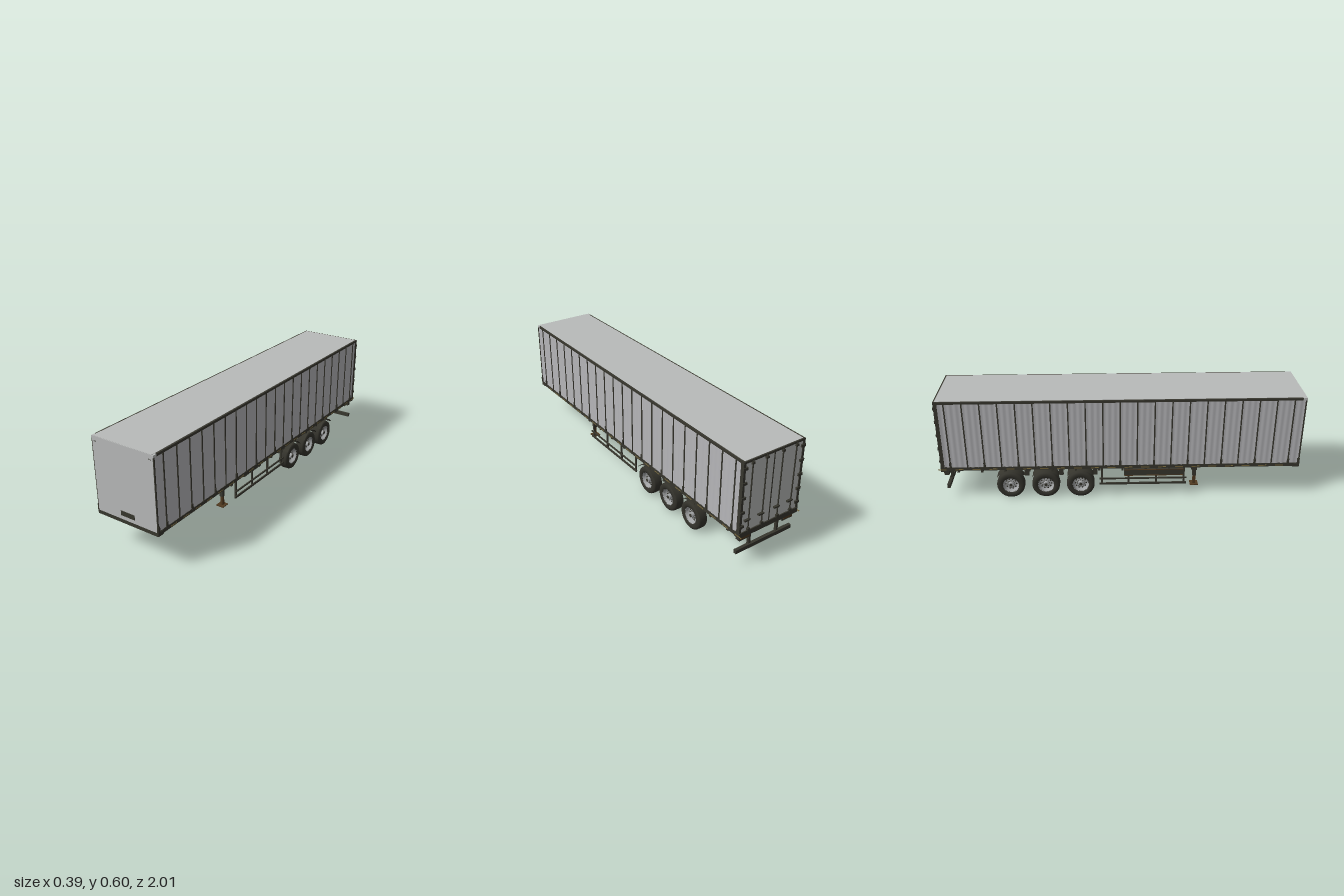
import * as THREE from 'three';

const mat = (name, color, side = THREE.FrontSide) => {
  const m = new THREE.MeshStandardMaterial({ color, side });
  m.name = name;
  return m;
};

export function createModel() {
  const panel = mat('panel grey', 0xb9bbba);
  const curtainMat = mat('curtain grey', 0xb6b6b9, THREE.DoubleSide);
  const dark = mat('dark frame', 0x38372e);
  const fenderMat = mat('fender black', 0x35342c, THREE.DoubleSide);
  const rubber = mat('tyre rubber', 0x33322b);
  const rimMat = mat('rim silver', 0xa2a4a5);
  const brown = mat('rust brown', 0x513a20);
  const marker = mat('marker ochre', 0x77683c);

  const root = new THREE.Group();
  root.name = 'semiTrailer';
  const add = (name, geo, material, parent = root) => {
    const m = new THREE.Mesh(geo, material);
    m.name = name;
    parent.add(m);
    return m;
  };
  // box given by its limits on each axis
  const box = (name, x0, x1, y0, y1, z0, z1, material = dark, parent = root) => {
    const m = add(name, new THREE.BoxGeometry(x1 - x0, y1 - y0, z1 - z0), material, parent);
    m.position.set((x0 + x1) / 2, (y0 + y1) / 2, (z0 + z1) / 2);
    return m;
  };
  // the same box on the left or right side of the model
  const sideBox = (name, s, x0, x1, ...rest) =>
    s > 0 ? box(name, x0, x1, ...rest) : box(name, -x1, -x0, ...rest);
  const cyl = (name, r, len, axis, x, y, z, material = dark, parent = root, seg = 16) => {
    const g = new THREE.CylinderGeometry(r, r, len, seg);
    if (axis === 'x') g.rotateZ(Math.PI / 2);
    if (axis === 'z') g.rotateX(Math.PI / 2);
    const m = add(name, g, material, parent);
    m.position.set(x, y, z);
    return m;
  };

  // ---- body shell ----
  box('floor', -0.186, 0.186, 0.182, 0.2, -0.985, 0.995);
  box('frontSill', -0.19, 0.19, 0.18, 0.2, 0.96, 0.997);
  box('frontWall', -0.184, 0.184, 0.2, 0.598, 0.97, 0.997, panel);
  box('roof', -0.179, 0.179, 0.588, 0.6, -0.985, 0.996, panel);
  box('frontRoofCap', -0.188, 0.188, 0.586, 0.5985, 0.975, 0.998, panel);
  box('frontPlate', -0.036, 0.049, 0.222, 0.247, 0.996, 1.0);
  for (const s of [1, -1]) {
    sideBox('frontMark', s, 0.161, 0.175, 0.572, 0.574, 0.996, 0.999);
    sideBox('frontMark', s, 0.161, 0.163, 0.572, 0.578, 0.996, 0.999);
    sideBox('topRail', s, 0.178, 0.1885, 0.586, 0.5985, -0.99, 0.975);
    sideBox('bottomRail', s, 0.18, 0.188, 0.183, 0.203, -0.99, 0.99);
    sideBox('frontCorner', s, 0.183, 0.189, 0.2, 0.586, 0.989, 0.996);
    sideBox('frontCornerFoot', s, 0.183, 0.192, 0.2, 0.232, 0.984, 0.997);
    sideBox('rearPillar', s, 0.176, 0.189, 0.2, 0.598, -0.992, -0.972);

    // curtain with soft upright folds
    const g = new THREE.PlaneGeometry(1.96, 0.388, 252, 1);
    const p = g.attributes.position;
    for (let i = 0; i < p.count; i++)
      p.setZ(i, 0.0012 * Math.sin(((p.getX(i) - 0.01) / 0.0935) * Math.PI * 6));
    g.computeVertexNormals();
    const c = add('sideCurtain', g, curtainMat);
    c.rotation.y = s * Math.PI / 2;
    c.position.set(s * 0.1855, 0.394, 0.008);

    // straps, buckles and rail markers
    for (let i = 0; i < 21; i++) {
      const z = 0.932 - i * 0.0935;
      sideBox('strap', s, 0.186, 0.1895, 0.2, 0.588, z - 0.0035, z + 0.0035);
      if (i % 2 === 0) sideBox('buckle', s, 0.187, 0.193, 0.203, 0.232, z - 0.006, z + 0.006);
      sideBox('railMarker', s, 0.187, 0.1885, 0.187, 0.193, z - 0.07, z - 0.025, marker);
    }
  }

  // ---- rear doors ----
  box('rearDoors', -0.178, 0.178, 0.2, 0.592, -0.988, -0.975, panel);
  box('rearHeader', -0.188, 0.188, 0.588, 0.599, -0.992, -0.972);
  box('rearSill', -0.188, 0.188, 0.178, 0.206, -0.994, -0.96);
  box('doorGap', -0.003, 0.003, 0.206, 0.588, -0.9895, -0.987);
  for (const x of [-0.135, -0.05, 0.05, 0.135]) {
    cyl('lockBar', 0.0035, 0.4, 'y', x, 0.395, -0.992, dark, root, 8);
    for (const y of [0.215, 0.58]) box('barKeeper', x - 0.008, x + 0.008, y - 0.006, y + 0.006, -0.998, -0.986);
    box('barHandle', x - 0.006, x + 0.028, 0.268, 0.276, -1.0, -0.988);
  }
  for (const s of [1, -1])
    for (let i = 0; i < 5; i++)
      sideBox('hinge', s, 0.165, 0.191, 0.235 + i * 0.08, 0.249 + i * 0.08, -0.996, -0.984);

  // ---- chassis ----
  const profile = new THREE.Shape([[0.49, 0.184], [0.42, 0.13], [-0.95, 0.13], [-0.95, 0.184]]
    .map(([a, b]) => new THREE.Vector2(a, b)));
  for (const s of [1, -1]) {
    const g = new THREE.ExtrudeGeometry(profile, { depth: 0.008, bevelEnabled: false });
    g.rotateY(-Math.PI / 2);
    add('chassisRail', g, dark).position.x = s * 0.077 + 0.004;
    sideBox('railFlange', s, 0.067, 0.088, 0.129, 0.133, -0.95, 0.42);
  }
  for (let i = 0; i < 11; i++) {
    const z = 0.4 - i * 0.13;
    box('crossMember', -0.18, 0.18, 0.166, 0.183, z - 0.006, z + 0.006);
  }
  box('neckPlate', -0.09, 0.09, 0.156, 0.183, 0.44, 0.46);
  cyl('kingpin', 0.006, 0.016, 'y', 0, 0.176, 0.77);

  // ---- storage boxes ----
  box('palletBox', -0.182, -0.112, 0.132, 0.172, 0.02, 0.35);
  for (const y of [0.134, 0.17]) box('palletBoxEdge', -0.184, -0.181, y - 0.002, y + 0.002, 0.02, 0.35, brown);
  box('centreBox', -0.04, 0.04, 0.137, 0.156, 0.02, 0.35, brown);
  box('toolBox', 0.048, 0.12, 0.11, 0.168, 0.03, 0.2);

  // ---- landing gear ----
  cyl('landingShaft', 0.003, 0.25, 'x', 0, 0.113, 0.42, dark, root, 8);
  for (const s of [1, -1]) {
    sideBox('legHousing', s, 0.117, 0.142, 0.138, 0.184, 0.407, 0.433);
    sideBox('legOuter', s, 0.12, 0.138, 0.1, 0.14, 0.41, 0.43);
    sideBox('legInner', s, 0.122, 0.136, 0.047, 0.1, 0.412, 0.428, brown);
    sideBox('legFoot', s, 0.105, 0.15, 0.044, 0.049, 0.397, 0.443, brown);

    // side guards
    sideBox('guardLowerRail', s, 0.174, 0.181, 0.075, 0.086, -0.12, 0.37);
    sideBox('guardUpperRail', s, 0.174, 0.181, 0.109, 0.117, -0.12, 0.37);
    for (const z of [0.355, 0.2, 0.045, -0.105])
      sideBox('guardPost', s, 0.167, 0.175, 0.075, 0.184, z - 0.005, z + 0.005);

    // rear underrun posts, lamps and flap brackets
    sideBox('bumperPost', s, 0.084, 0.096, 0.085, 0.18, -0.965, -0.95);
    sideBox('lampBox', s, 0.105, 0.172, 0.148, 0.18, -0.98, -0.955);
    sideBox('lampFace', s, 0.11, 0.167, 0.156, 0.172, -0.983, -0.979, brown);
  }
  box('rearBumper', -0.18, 0.18, 0.069, 0.09, -0.972, -0.955);

  // ---- wheels, axles, suspension ----
  const lathe = (pts, seg) => new THREE.LatheGeometry(pts.map(([r, w]) => new THREE.Vector2(r, w)), seg);
  const tyreGeo = lathe([[0.044, -0.024], [0.056, -0.029], [0.068, -0.028], [0.0755, -0.024], [0.078, -0.018],
    [0.0785, 0], [0.078, 0.018], [0.0755, 0.024], [0.068, 0.028], [0.056, 0.029], [0.044, 0.024], [0.042, 0.015]], 36);
  const rimGeo = lathe([[0.0005, 0.006], [0.026, 0.006], [0.036, 0.002], [0.039, 0.016], [0.045, 0.025], [0.046, 0.0245]].reverse(), 32);
  rimGeo.computeVertexNormals();
  const rimFace = rimMat.clone();
  rimFace.side = THREE.DoubleSide;
  const buildWheel = () => {
    const w = new THREE.Group();
    w.name = 'wheel';
    add('tyre', tyreGeo, rubber, w);
    add('rim', rimGeo, rimFace, w);
    cyl('innerDrum', 0.044, 0.02, 'y', 0, -0.012, 0, dark, w, 24);
    cyl('hub', 0.014, 0.018, 'y', 0, 0.013, 0, rimMat, w);
    cyl('hubCap', 0.009, 0.004, 'y', 0, 0.023, 0, dark, w);
    for (let i = 0; i < 10; i++) {
      const a = i * Math.PI / 5, b = a + Math.PI / 10;
      cyl('wheelNut', 0.0024, 0.005, 'y', 0.02 * Math.cos(a), 0.008, 0.02 * Math.sin(a), dark, w, 6);
      const hole = cyl('rimHole', 0.0045, 0.003, 'y', 0.03 * Math.cos(b), 0.0045, 0.03 * Math.sin(b), dark, w, 10);
      hole.rotation.z = -0.3 * Math.cos(b);
      hole.rotation.x = 0.3 * Math.sin(b);
    }
    return w;
  };
  for (const z of [-0.225, -0.42, -0.617]) {
    cyl('axle', 0.01, 0.27, 'x', 0, 0.08, z);
    for (const s of [1, -1]) {
      const w = buildWheel();
      w.rotation.z = -s * Math.PI / 2;
      w.position.set(s * 0.155, 0.0785, z);
      root.add(w);

      // curved mudguard over the top of the tyre
      const f = new THREE.CylinderGeometry(0.09, 0.09, 0.06, 20, 1, true, -0.95, 1.9);
      f.rotateX(-Math.PI / 2).rotateY(Math.PI / 2);
      // keep the arc on the upper side
      f.computeBoundingBox();
      if (f.boundingBox.max.y < 0.085) f.rotateX(Math.PI);
      add('mudguard', f, fenderMat).position.set(s * 0.158, 0.082, z);

      sideBox('hangerBracket', s, 0.068, 0.086, 0.085, 0.135, z + 0.07, z + 0.095);
      const arm = sideBox('trailingArm', s, 0.07, 0.084, 0.084, 0.096, z - 0.07, z + 0.085);
      arm.rotation.x = -0.08;
      cyl('airSpring', 0.02, 0.042, 'y', s * 0.077, 0.114, z - 0.055);
      cyl('brakeChamber', 0.012, 0.03, 'z', s * 0.05, 0.095, z + 0.03);
    }
  }
  return root;
}
